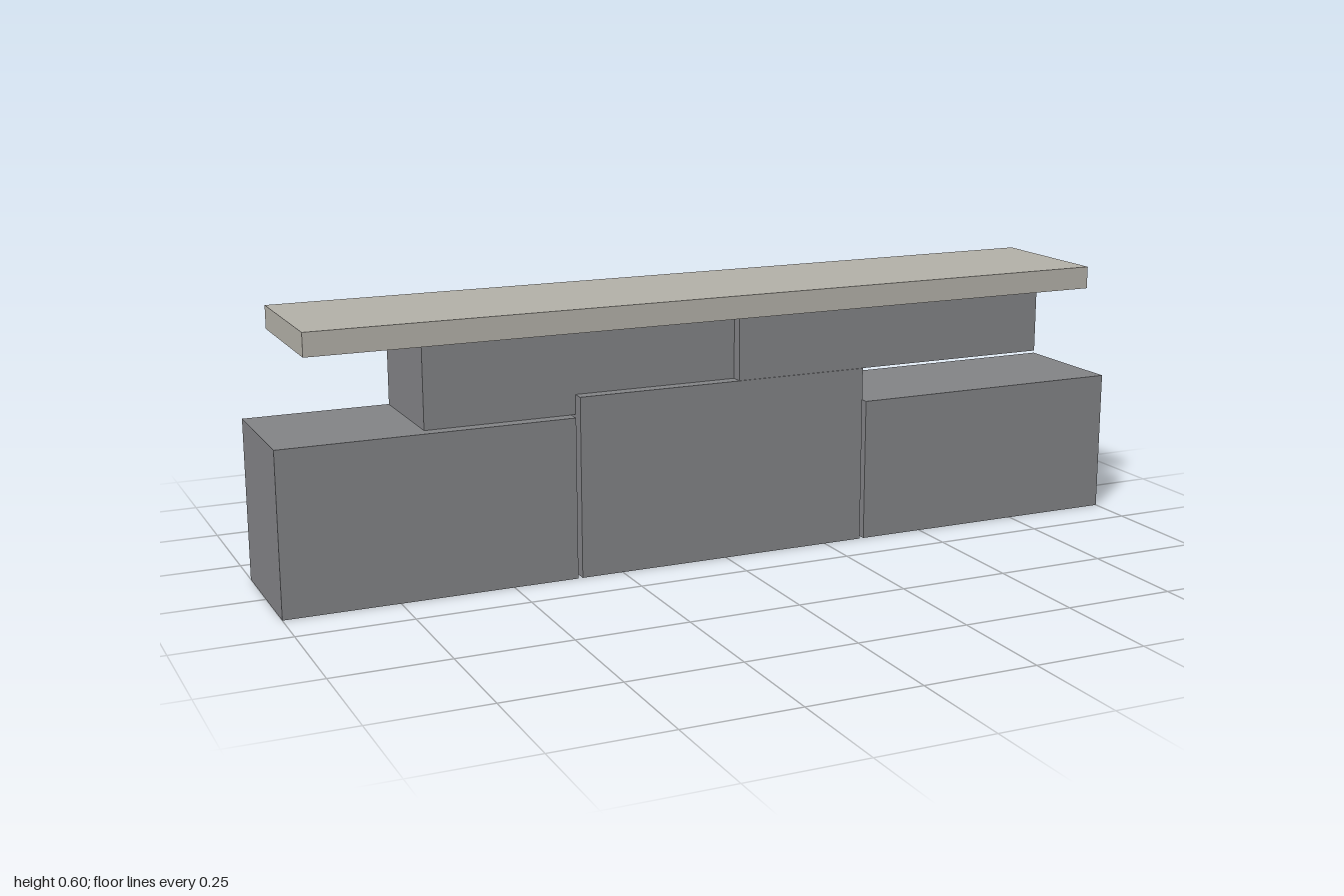
import * as THREE from 'three';

export function createModel() {
  const model = new THREE.Group();
  model.name = 'stackedStoneBench';

  const darkStone = new THREE.MeshStandardMaterial({ color: 0x828386 });
  darkStone.name = 'darkStone';
  const paleStone = new THREE.MeshStandardMaterial({ color: 0xb3b0a8 });
  paleStone.name = 'paleStone';

  // Box given by its extents along each axis
  function block(name, material, [x0, x1], [y0, y1], [z0, z1]) {
    const mesh = new THREE.Mesh(new THREE.BoxGeometry(x1 - x0, y1 - y0, z1 - z0), material);
    mesh.position.set((x0 + x1) / 2, (y0 + y1) / 2, (z0 + z1) / 2);
    mesh.name = name;
    model.add(mesh);
  }

  // Bottom course: three blocks of different heights with narrow gaps
  const depth = [-0.145, 0.145];
  block('rightBaseBlock', darkStone, [-1, -0.354], [0, 0.358], depth);
  block('middleBaseBlock', darkStone, [-0.344, 0.341], [0, 0.402], depth);
  block('leftBaseBlock', darkStone, [0.351, 1], [0, 0.324], depth);

  // Second course: two blocks, one set back and one set forward
  block('rightUpperBlock', darkStone, [-0.68, 0.032], [0.358, 0.537], [-0.142, 0.116]);
  block('leftUpperBlock', darkStone, [0.032, 0.803], [0.402, 0.544], [-0.115, 0.143]);

  // Overhanging slab on top
  block('topSlab', paleStone, [-0.936, 0.932], [0.544, 0.595], [-0.161, 0.161]);

  return model;
}
